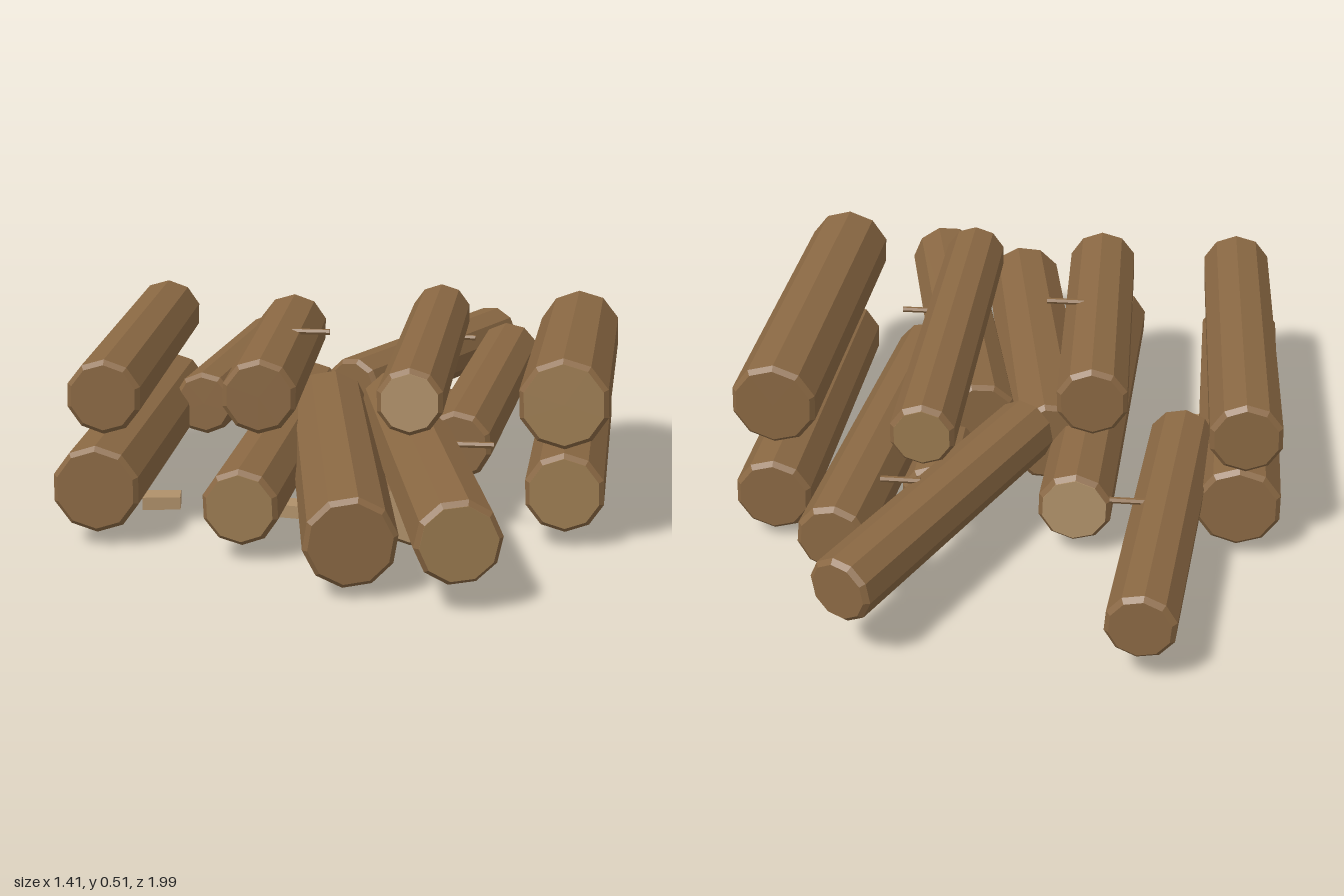
import * as THREE from 'three';

const bark = new THREE.MeshStandardMaterial({ color: 0x8a6843 });
bark.name = 'bark brown';
const cutWood = new THREE.MeshStandardMaterial({ color: 0xb0916a });
cutWood.name = 'pale cut wood';
const mixedWood = new THREE.MeshStandardMaterial({ color: 0x9a7a50 });
mixedWood.name = 'weathered cut wood';

const SIDES = 10;
const UP = new THREE.Vector3(0, 1, 0);

// Facet a geometry so every face is flat
function faceted(geometry) {
  const g = geometry.toNonIndexed();
  g.computeVertexNormals();
  return g;
}

// Log between two end centres, with bevelled rims and optional cut faces
function makeLog({ name, front, back, r, frontCap, backCap }) {
  const a = new THREE.Vector3(...back);
  const b = new THREE.Vector3(...front);
  const half = a.distanceTo(b) / 2;
  const bevel = 0.012;
  const profile = [
    [0, -half], [r - bevel, -half], [r, -half + bevel],
    [r, half - bevel], [r - bevel, half], [0, half],
  ].map(([x, y]) => new THREE.Vector2(x, y));
  const log = new THREE.Group();
  log.name = name;
  const body = new THREE.Mesh(faceted(new THREE.LatheGeometry(profile, SIDES)), bark);
  body.name = name + 'Bark';
  log.add(body);
  for (const [material, side] of [[frontCap, 1], [backCap, -1]]) {
    if (!material) continue;
    const cap = new THREE.Mesh(
      faceted(new THREE.CylinderGeometry(r - bevel, r - bevel, 0.003, SIDES)), material);
    cap.position.y = side * (half + 0.001);
    cap.name = name + (side > 0 ? 'FrontCut' : 'BackCut');
    log.add(cap);
  }
  log.position.copy(a).add(b).multiplyScalar(0.5);
  log.quaternion.setFromUnitVectors(UP, b.sub(a).normalize());
  return log;
}

const logs = [
  // Bottom row
  { name: 'bottomLogRight', front: [-0.6, 0.15, 0.59], back: [-0.605, 0.15, -0.41], r: 0.112 },
  { name: 'bottomLogMidRight', front: [-0.226, 0.14, 0.665], back: [-0.19, 0.14, -0.44], r: 0.097,
    frontCap: mixedWood, backCap: cutWood },
  { name: 'bottomLogMidLeft', front: [0.18, 0.105, 0.55], back: [0.18, 0.11, -0.37], r: 0.088,
    frontCap: cutWood },
  { name: 'bottomLogLeft', front: [0.557, 0.145, 0.48], back: [0.59, 0.13, -0.44], r: 0.102,
    frontCap: mixedWood },
  // Scattered middle logs
  { name: 'looseLogBackRight', front: [-0.455, 0.185, -0.115], back: [-0.383, 0.165, -0.98], r: 0.088 },
  { name: 'slantedLogBack', front: [-0.045, 0.225, -0.18], back: [0.323, 0.21, -0.965], r: 0.085 },
  { name: 'looseLogBackLeft', front: [0.277, 0.2, 0.28], back: [0.378, 0.205, -0.743], r: 0.092 },
  { name: 'slantedLogFrontLeft', front: [0.325, 0.175, 0.968], back: [0.09, 0.2, -0.11], r: 0.104,
    frontCap: mixedWood },
  { name: 'slantedLogFront', front: [0.071, 0.14, 0.897], back: [-0.108, 0.17, -0.165], r: 0.113 },
  // Top row
  { name: 'topLogRight', front: [-0.58, 0.38, 0.56], back: [-0.615, 0.373, -0.45], r: 0.095 },
  { name: 'topLogMidRight', front: [-0.196, 0.385, 0.535], back: [-0.222, 0.372, -0.3], r: 0.095 },
  { name: 'topLogMidLeft', front: [0.177, 0.387, 0.553], back: [0.186, 0.375, -0.515], r: 0.085,
    frontCap: cutWood, backCap: mixedWood },
  { name: 'topLogLeft', front: [0.55, 0.393, 0.555], back: [0.59, 0.365, -0.38], r: 0.113,
    frontCap: mixedWood },
];

export function createModel() {
  const pile = new THREE.Group();
  pile.name = 'logPile';
  for (const spec of logs) pile.add(makeLog(spec));

  // Short twig stubs lying crosswise
  const twigs = [
    [-0.12, 0.455, 0.115], [-0.335, 0.243, -0.55], [0.232, 0.285, -0.575], [0.33, 0.25, 0.43],
  ];
  twigs.forEach(([x, y, z], i) => {
    const twig = new THREE.Mesh(faceted(new THREE.CylinderGeometry(0.008, 0.008, 0.1, 6)), bark);
    twig.rotation.z = Math.PI / 2;
    twig.position.set(x, y, z);
    twig.name = 'twig' + (i + 1);
    pile.add(twig);
  });

  // Wood chips on the ground
  const chips = [[-0.505, 0.017, 0.245, 0.15], [-0.17, 0.017, 0.275, -0.15]];
  chips.forEach(([x, y, z, turn], i) => {
    const chip = new THREE.Mesh(new THREE.BoxGeometry(0.1, 0.034, 0.065), cutWood);
    chip.position.set(x, y, z);
    chip.rotation.y = turn;
    chip.name = 'woodChip' + (i + 1);
    pile.add(chip);
  });
  return pile;
}
